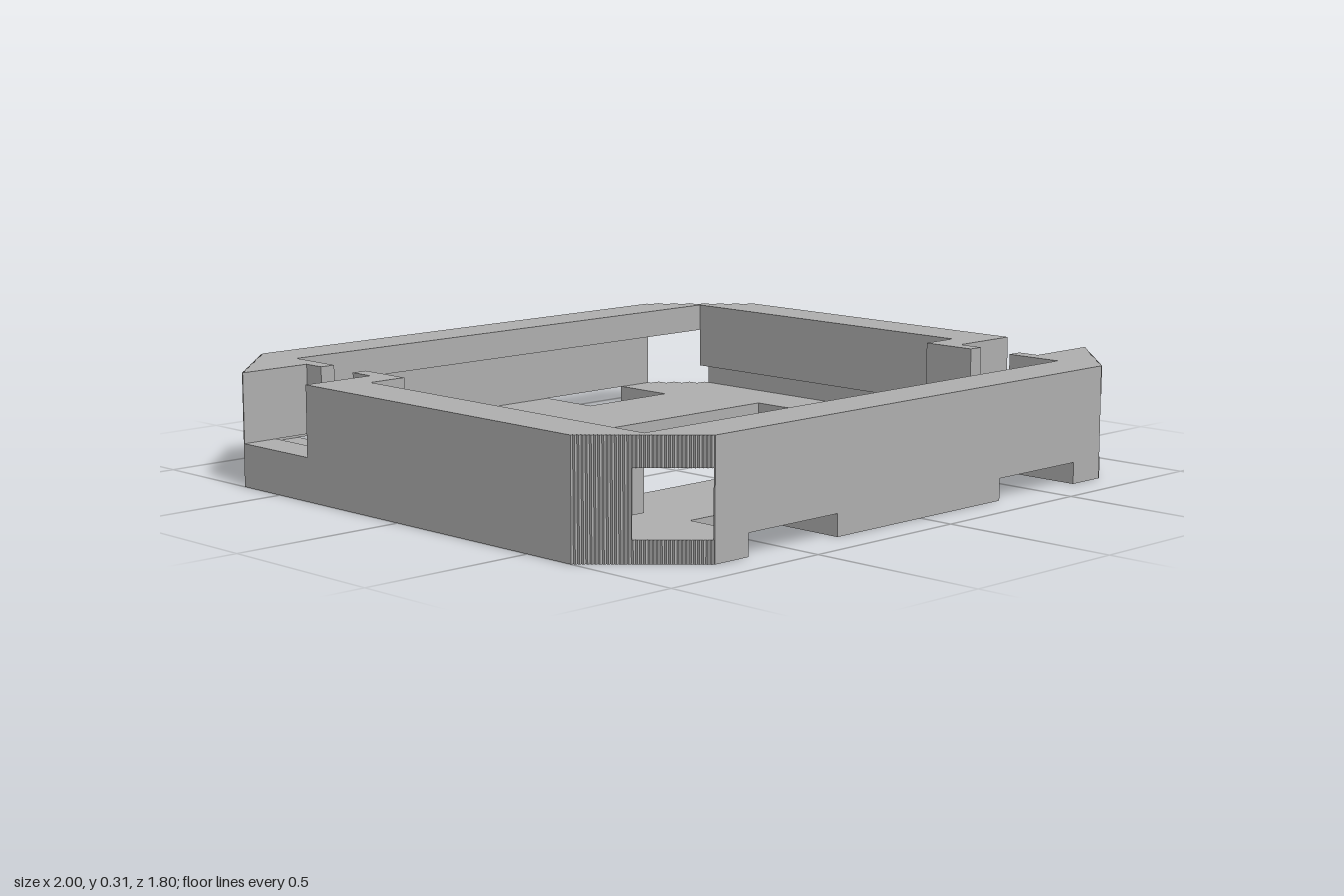
import * as THREE from 'three';

const COARSE = 0.035, FINE = 0.007; // step sizes of the corner cuts

// Stepped diagonal between two plan points, as [x, z] pairs
function stairs(x0, z0, x1, z1, step) {
  const n = Math.max(1, Math.round(Math.abs(x1 - x0) / step));
  const dx = (x1 - x0) / n, dz = (z1 - z0) / n;
  const pts = [[x0, z0]];
  for (let i = 0; i < n; i++) {
    const x = x0 + dx * i, z = z0 + dz * i;
    pts.push([x, z + dz / 2], [x + dx, z + dz / 2], [x + dx, z + dz]);
  }
  return pts;
}

export function createModel() {
  const model = new THREE.Group();
  model.name = 'frameTray';
  const grey = new THREE.MeshStandardMaterial({ color: 0xb0b0b0 });
  grey.name = 'plainGrey';

  // Extrude a plan outline of [x, z] points from y0 to y1
  function slab(name, pts, y0, y1, turned = false, hole = null) {
    const toV = ([x, z]) => new THREE.Vector2(x, -z);
    const shape = new THREE.Shape(pts.map(toV));
    if (hole) shape.holes.push(new THREE.Path(hole.map(toV)));
    const geo = new THREE.ExtrudeGeometry(shape, { depth: y1 - y0, bevelEnabled: false });
    geo.rotateX(-Math.PI / 2);
    geo.translate(0, y0, 0);
    const mesh = new THREE.Mesh(geo, grey);
    mesh.name = name;
    if (turned) mesh.rotation.y = Math.PI;
    model.add(mesh);
  }

  const floorTop = 0.06, ledge = 0.12, lipBottom = 0.235, top = 0.315;

  // Floor plate with a central window and two edge slots front and back
  const backSlots = [];
  for (const [a, b] of [[0.64, 0.32], [-0.32, -0.64]])
    backSlots.push([a, -0.9], [a, -0.7], [b, -0.7], [b, -0.9]);
  const frontSlots = backSlots.map(([x, z]) => [-x, -z]);
  slab('floorPlate', [
    ...stairs(1, -0.655, 0.755, -0.9, COARSE), ...backSlots,
    ...stairs(-0.755, -0.9, -1, -0.655, FINE),
    ...stairs(-1, 0.655, -0.755, 0.9, FINE), ...frontSlots,
    ...stairs(0.755, 0.9, 1, 0.655, FINE),
  ], 0, floorTop, false, [[-0.725, -0.375], [0.725, -0.375], [0.725, 0.375], [-0.725, 0.375]]);

  // The two halves are half-turn copies; only one corner has coarse steps
  for (const turned of [false, true]) {
    const step = turned ? FINE : COARSE;
    const side = turned ? 'right' : 'left';
    const end = turned ? 'front' : 'back';

    // Low side wall, running under the latch notch
    slab(side + 'LowerWall', [
      ...stairs(0.895, -0.76, 1, -0.655, step),
      ...stairs(1, 0.655, 0.895, 0.76, FINE),
    ], floorTop, ledge, turned);

    // Thin outer skin enclosing the long channel
    slab(end + 'Skin', [[-0.755, -0.9], [0.755, -0.9], [0.755, -0.895], [-0.755, -0.895]],
      floorTop, lipBottom, turned);

    // Side wall with the jamb of the notch
    const jamb = [[1, 0.375], [0.785, 0.375], [0.785, 0.45], [0.74, 0.45], [0.74, 0.285],
      [0.855, 0.285], [0.855, -0.76]];
    slab(side + 'UpperWall', [...stairs(0.895, -0.76, 1, -0.655, step), ...jamb],
      ledge, lipBottom, turned);

    // Corner post on the other side of the notch
    slab(side + 'CornerPost', [
      ...stairs(0.895, 0.76, 1, 0.655, FINE),
      [0.785, 0.655], [0.785, 0.59], [0.74, 0.59], [0.74, 0.76],
    ], ledge, lipBottom, turned);

    // Top rim, from one notch round to the other
    slab(end + 'Rim', [
      ...stairs(-1, -0.655, -0.755, -0.9, FINE),
      ...stairs(0.755, -0.9, 1, -0.655, step),
      ...jamb,
      [-0.74, -0.76], [-0.74, -0.59], [-0.785, -0.59], [-0.785, -0.655],
    ], lipBottom, top, turned);
  }
  return model;
}
